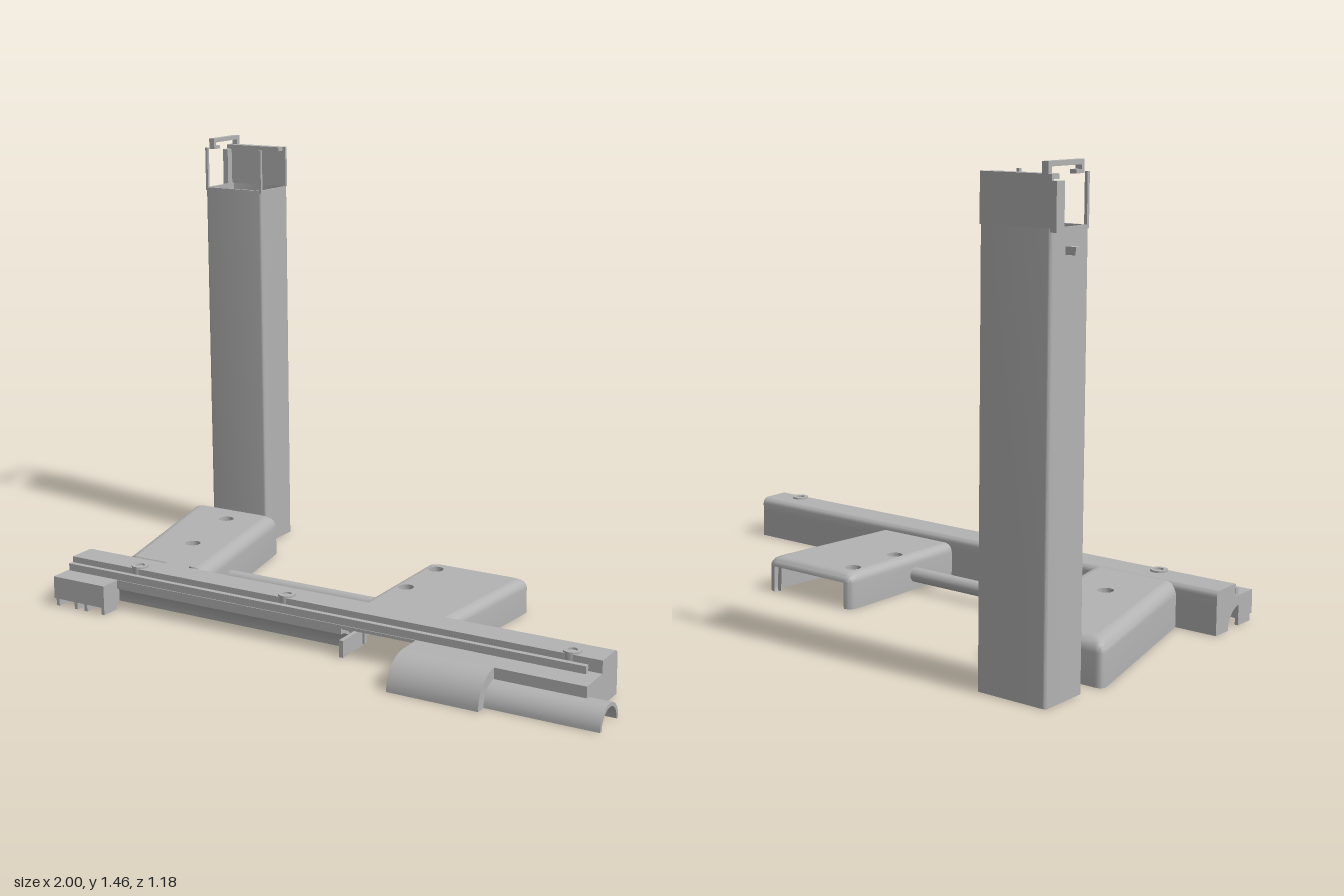
import * as THREE from 'three';
import { toCreasedNormals } from 'three/addons/utils/BufferGeometryUtils.js';

const grey = new THREE.MeshStandardMaterial({ color: 0xb3b3b3, side: THREE.DoubleSide });
grey.name = 'plain grey';

export function createModel() {
  const model = new THREE.Group();

  const add = (name, geometry, parent = model) => {
    const mesh = new THREE.Mesh(geometry, grey);
    mesh.name = name;
    parent.add(mesh);
    return mesh;
  };
  const group = (name) => {
    const g = new THREE.Group();
    g.name = name;
    model.add(g);
    return g;
  };
  // Box given by its limits on each axis
  const box = (name, x0, x1, y0, y1, z0, z1, parent) => {
    const g = new THREE.BoxGeometry(x1 - x0, y1 - y0, z1 - z0);
    g.translate((x0 + x1) / 2, (y0 + y1) / 2, (z0 + z1) / 2);
    return add(name, g, parent);
  };
  // Points on an arc, angles in degrees
  const arc = (cx, cy, r, a0, a1, n = 12) => Array.from({ length: n + 1 }, (_, i) => {
    const a = THREE.MathUtils.degToRad(a0 + (a1 - a0) * i / n);
    return [cx + r * Math.cos(a), cy + r * Math.sin(a)];
  });
  const shapeOf = (pts) => new THREE.Shape(pts.map(([a, b]) => new THREE.Vector2(a, b)));
  // Cross-section of (z, y) points run from x0 to x1
  const run = (name, pts, x0, x1, parent) => {
    const g = new THREE.ExtrudeGeometry(shapeOf(pts), { depth: x1 - x0, bevelEnabled: false });
    g.rotateY(-Math.PI / 2).translate(x1, 0, 0);
    return add(name, toCreasedNormals(g, 0.6), parent);
  };
  const circlePath = (x, z, r) => new THREE.Path().absarc(x, -z, r, 0, Math.PI * 2, true);

  // ---- Rail ----
  const rail = group('rail');
  const topEdge = arc(0.29, 0.12, 0.02, 180, 90, 5);
  run('railTop', [[0.27, 0.09], ...topEdge, [0.38, 0.14], [0.38, 0.1], [0.41, 0.1], [0.41, 0.09]], -0.98, 0.93, rail);
  box('railRidge', -0.975, 0.89, 0.095, 0.124, 0.39, 0.407, rail);
  const groove = arc(0.41, 0, 0.07, 90, 180);
  run('railSolidBody', [[0.27, 0], [0.27, 0.095], [0.41, 0.095], ...groove], -0.98, -0.5, rail);
  // hollow middle: rear wall and curved front wall
  box('railRearWall', -0.5, 0.09, 0, 0.095, 0.27, 0.285, rail);
  run('railGrooveWall', [[0.41, 0.095], ...groove, ...arc(0.41, 0, 0.08, 180, 100)], -0.5, 0.08, rail);
  box('railGrooveStop', 0.078, 0.092, 0, 0.055, 0.3, 0.42, rail);
  // right-hand body, hollowed for the tube cover
  run('railEndBody', [[0.27, 0], [0.27, 0.095], [0.38, 0.1], [0.49, 0.1], ...arc(0.49, 0, 0.06, 90, 180)], 0.34, 0.93, rail);
  for (const x of [-0.72, -0.15, 0.825]) {
    const boss = new THREE.LatheGeometry([[0.028, 0], [0.028, 0.046], [0.015, 0.046], [0.015, 0.036], [0, 0.036]]
      .map(([r, y]) => new THREE.Vector2(r, y)), 20);
    add('screwBoss', toCreasedNormals(boss.translate(x, 0.1, 0.355), 0.6), rail);
  }

  // Small block at the left front, on feet
  const block = group('frontBlock');
  box('blockBody', -0.98, -0.775, 0.025, 0.1, 0.4, 0.482, block);
  for (const x of [-0.975, -0.9, -0.86, -0.79]) box('blockFoot', x, x + 0.012, 0, 0.03, 0.41, 0.478, block);

  // Curved tube covers at the right front
  run('wideTubeCover', [...arc(0.49, 0, 0.1, 90, 0), ...arc(0.49, 0, 0.06, 0, 90)], 0.34, 0.64);
  run('narrowTubeCover', [...arc(0.49, 0, 0.065, 180, 0, 20), ...arc(0.49, 0, 0.053, 0, 180, 20)], 0.6, 1.0);

  // ---- Legs ----
  // Tapered outline (x, -z) with rounded back corners, drawn in by an inset
  const legOutline = (o, t) => {
    const at = (a, b, z) => a + (b - a) * (z - o.zBack) / (o.zFront - o.zBack);
    const L = (z) => at(o.left[0], o.left[1], z) + t;
    const R = (z) => at(o.right[0], o.right[1], z) - t;
    const zb = o.zBack + t, c = 0.03;
    const s = new THREE.Shape();
    s.moveTo(L(o.zFront), -o.zFront);
    s.lineTo(L(zb + c), -zb - c);
    s.quadraticCurveTo(L(zb), -zb, L(zb) + c, -zb);
    s.lineTo(R(zb) - c, -zb);
    s.quadraticCurveTo(R(zb), -zb, R(zb + c), -zb - c);
    s.lineTo(R(o.zFront), -o.zFront);
    return s.getPoints(6);
  };
  const makeLeg = (name, o) => {
    const leg = group(name);
    const levels = [...o.inner, [0, 0]];
    for (let i = 0; i <= 6; i++) {
      const a = i / 6 * Math.PI / 2;
      levels.push([o.h - o.r + o.r * Math.sin(a), o.r * (1 - Math.cos(a))]);
    }
    const rings = levels.map(([, t]) => legOutline(o, t));
    const n = rings[0].length, pos = [], idx = [];
    rings.forEach((ring, k) => ring.forEach((p) => pos.push(p.x, levels[k][0], -p.y)));
    for (let k = 0; k < rings.length - 1; k++) {
      const low = levels[k][0] < 0.086 && levels[k + 1][0] < 0.086;
      for (let i = 0; i < n - 1; i++) {
        // open notch in the back wall of a hollow leg
        if (o.inner.length && low && i === 7) continue;
        const a = k * n + i, b = a + n;
        idx.push(a, a + 1, b, a + 1, b + 1, b);
      }
    }
    const g = new THREE.BufferGeometry();
    g.setAttribute('position', new THREE.Float32BufferAttribute(pos, 3));
    g.setIndex(idx);
    g.computeVertexNormals();
    add('legWalls', toCreasedNormals(g, 0.6), leg);
    // flat faces pierced by the screw holes
    const face = (faceName, y, t, r) => {
      const s = new THREE.Shape(legOutline(o, t));
      for (const [x, z] of o.holes) s.holes.push(circlePath(x, z, r));
      add(faceName, new THREE.ShapeGeometry(s, 10).rotateX(-Math.PI / 2).translate(0, y, 0), leg);
    };
    face('legTop', o.h, o.r, 0.026);
    if (o.inner.length) face('legUnderside', o.inner[0][0], o.inner[0][1], 0.015);
    else face('legBottom', 0, 0, 0.015);
    const bottom = o.inner.length ? 0.05 : 0;
    for (const [x, z] of o.holes) {
      const hole = new THREE.LatheGeometry([[0.026, o.h], [0.026, o.h - 0.02], [0.015, o.h - 0.02], [0.015, bottom]]
        .map(([r, y]) => new THREE.Vector2(r, y)), 20);
      add('screwHole', toCreasedNormals(hole.translate(x, 0, z), 0.6), leg);
    }
  };
  makeLeg('solidLeg', {
    left: [-0.995, -0.835], right: [-0.64, -0.515], zBack: -0.355, zFront: 0.275, h: 0.14, r: 0.04,
    inner: [], holes: [[-0.775, -0.225], [-0.715, 0.065]],
  });
  makeLeg('hollowLeg', {
    left: [0.045, 0.045], right: [0.41, 0.365], zBack: -0.24, zFront: 0.275, h: 0.115, r: 0.03,
    inner: [[0.097, 0.035], [0.085, 0.016], [0, 0.014]], holes: [[0.072, -0.165], [0.072, 0.04]]
      .map(([x, z]) => [x + 0.03, z]),
  });

  // Rod joining the legs
  const rod = new THREE.CylinderGeometry(0.024, 0.024, 0.64, 20);
  add('crossRod', rod.rotateZ(Math.PI / 2).translate(-0.265, 0.05, 0.078));

  // ---- Column ----
  const column = group('column');
  const [cx0, cx1, cz0, cz1] = [-0.968, -0.735, -0.59, -0.42];
  const rounded = (P, d, r) => {
    const a = cx0 + d, b = cx1 - d, c = -cz1 + d, e = -cz0 - d;
    const p = new P();
    p.moveTo(a + r, c).lineTo(b - r, c).quadraticCurveTo(b, c, b, c + r);
    p.lineTo(b, e - r).quadraticCurveTo(b, e, b - r, e);
    p.lineTo(a + r, e).quadraticCurveTo(a, e, a, e - r);
    p.lineTo(a, c + r).quadraticCurveTo(a, c, a + r, c);
    return p;
  };
  const tube = rounded(THREE.Shape, 0, 0.01);
  tube.holes.push(rounded(THREE.Path, 0.009, 0.004));
  const tubeGeo = new THREE.ExtrudeGeometry(tube, { depth: 1.29, bevelEnabled: false, curveSegments: 4 });
  add('columnTube', toCreasedNormals(tubeGeo.rotateX(-Math.PI / 2), 0.6), column);
  box('columnBackPlate', cx0, cx1, 1.29, 1.43, cz0, cz0 + 0.01, column);
  box('columnBackRim', cx0, cx1 - 0.012, 1.416, 1.43, cz0, cz0 + 0.034, column);
  for (const x of [cx0, cx1 - 0.009]) box('columnPost', x, x + 0.009, 1.28, 1.43, cz1 - 0.01, cz1, column);
  // side clip, top hook and knob
  box('sideClip', -0.984, cx0 + 0.004, 1.28, 1.412, cz0, cz0 + 0.036, column);
  run('topHook', [[-0.59, 1.42], [-0.59, 1.462], [-0.43, 1.462], [-0.43, 1.425], [-0.465, 1.425], [-0.465, 1.436],
    [-0.44, 1.436], [-0.44, 1.448], [-0.575, 1.448], [-0.575, 1.42]], -0.957, -0.936, column);
  box('sideKnob', -1.0, cx0 + 0.004, 1.218, 1.24, -0.525, -0.5, column);
  return model;
}
